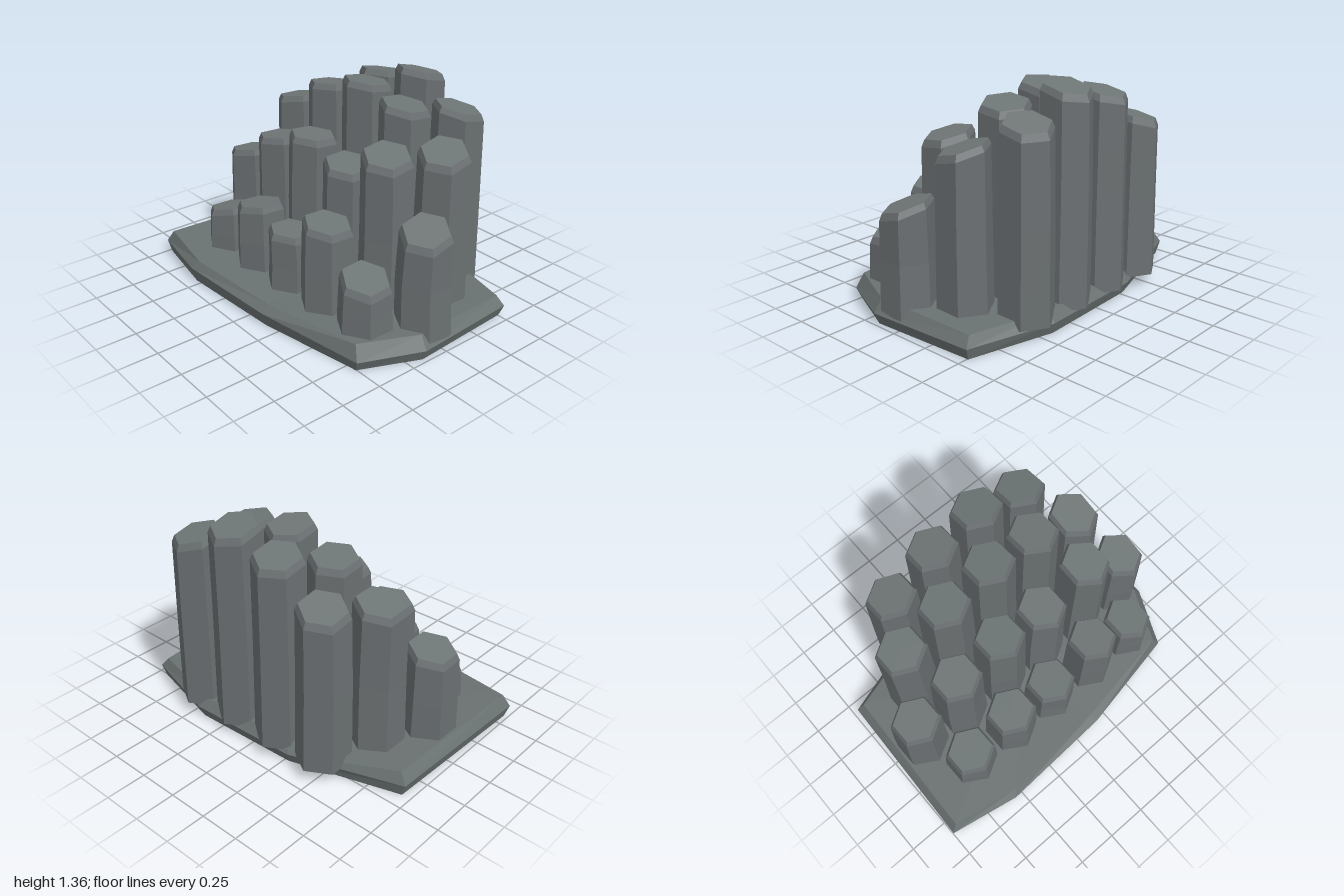
import * as THREE from 'three';

const mat = (name, color) => {
  const m = new THREE.MeshStandardMaterial({ color, flatShading: true });
  m.name = name;
  return m;
};

// Skins a stack of rings (arrays of Vector3, bottom to top), optionally closing the ends.
function loft(rings, closeBottom, closeTop) {
  const pos = [];
  const tri = (...pts) => pts.forEach(p => pos.push(p.x, p.y, p.z));
  const n = rings[0].length;
  for (let r = 0; r + 1 < rings.length; r++) {
    const lo = rings[r], hi = rings[r + 1];
    for (let i = 0; i < n; i++) {
      const j = (i + 1) % n;
      tri(lo[i], hi[i], lo[j]);
      tri(lo[j], hi[i], hi[j]);
    }
  }
  const fan = (ring, up) => {
    const c = ring.reduce((s, p) => s.add(p), new THREE.Vector3()).divideScalar(n);
    for (let i = 0; i < n; i++) {
      const a = ring[i], b = ring[(i + 1) % n];
      if (up) tri(c, b, a); else tri(c, a, b);
    }
  };
  if (closeBottom) fan(rings[0], false);
  if (closeTop) fan(rings[rings.length - 1], true);
  const g = new THREE.BufferGeometry();
  g.setAttribute('position', new THREE.Float32BufferAttribute(pos, 3));
  g.computeVertexNormals();
  return g;
}

// Small seeded noise in -1..1 for the uneven column sides
let seed = 7;
const noise = () => {
  seed = (seed * 16807) % 2147483647;
  return (seed / 2147483647) * 2 - 1;
};

// Slab outline at its widest: x, z, mid height, top height
const OUTLINE = [
  [1.0, 0.16, 0.07, 0.15], [0.84, 0.52, 0.065, 0.155], [0.16, 0.65, 0.09, 0.13],
  [-0.56, 0.685, 0.09, 0.14], [-1.0, 0.6, 0.08, 0.155], [-0.97, -0.42, 0.08, 0.15],
  [-0.29, -0.64, 0.07, 0.13], [0.43, -0.665, 0.07, 0.13], [0.96, -0.52, 0.07, 0.13],
];

// Column rows: z, then per column [x, cap height, slope in x, slope in z]
const ROWS = [
  { z: -0.525, cols: [[-0.465, 1.06, 0.2, 0.18], [-0.145, 1.255, 0.1, 0.2], [0.18, 1.33, 0, 0.25], [0.5, 1.185, -0.14, 0.22]] },
  { z: -0.24, cols: [[-0.62, 1.03, 0.2, 0.05], [-0.295, 1.195, 0.1, 0.12], [0.03, 1.285, -0.03, 0.17],
    [0.355, 1.225, -0.14, 0.12], [0.68, 1.04, -0.2, -0.23]] },
  { z: 0.038, cols: [[-0.78, 0.68, 0.2, 0.05], [-0.46, 0.865, 0.12, 0.05], [-0.135, 0.965, -0.03, 0.1],
    [0.19, 0.885, -0.15, -0.04], [0.518, 1.04, -0.2, -0.13], [0.84, 0.705, -0.22, -0.25]] },
  { z: 0.325, cols: [[-0.62, 0.4, 0.24, 0.03], [-0.295, 0.54, 0.15, 0.05], [0.025, 0.485, -0.02, 0.06],
    [0.355, 0.655, -0.15, 0.04], [0.68, 0.447, -0.26, -0.08]] },
];

export function createModel() {
  const group = new THREE.Group();
  const baseMat = mat('base stone', 0x6a7171);
  const columnMat = mat('column stone', 0x6a6f71);
  const capMat = mat('cap stone', 0x6e7675);

  // Base slab with an upper chamfer and a slight undercut
  const slabRing = (inset, height) => OUTLINE.map(p => {
    const k = 1 - inset / Math.hypot(p[0], p[1]);
    return new THREE.Vector3(p[0] * k, height(p), p[1] * k);
  });
  const base = new THREE.Mesh(
    loft([slabRing(0.03, () => 0), slabRing(0, p => p[2]), slabRing(0.05, p => p[3])], true, true), baseMat);
  base.name = 'baseSlab';
  group.add(base);

  // Hexagonal columns with bevelled, tilted caps
  for (const { z, cols } of ROWS) {
    for (const [x, h, sx, sz] of cols) {
      const ring = (radius, height, wobble) => {
        const ox = noise() * wobble, oz = noise() * wobble;
        return Array.from({ length: 6 }, (_, i) => {
          const a = Math.PI / 6 + i * Math.PI / 3;
          const dx = Math.cos(a) * radius + ox, dz = Math.sin(a) * radius + oz;
          return new THREE.Vector3(x + dx, height(dx, dz), z + dz);
        });
      };
      const plane = drop => (dx, dz) => h - drop + sx * dx + sz * dz;
      const rim = ring(0.154, plane(0.038), 0);
      const cap = ring(0.136, plane(0), 0);
      const mid = 0.08 + (h - 0.08) * 0.5;
      const column = new THREE.Group();
      column.name = 'basaltColumn';
      const shaft = new THREE.Mesh(
        loft([ring(0.166, () => 0.08, 0), ring(0.16, () => mid, 0.006), rim, cap], true, false), columnMat);
      shaft.name = 'columnShaft';
      const top = new THREE.Mesh(loft([cap], false, true), capMat);
      top.name = 'columnCap';
      column.add(shaft, top);
      group.add(column);
    }
  }
  return group;
}
